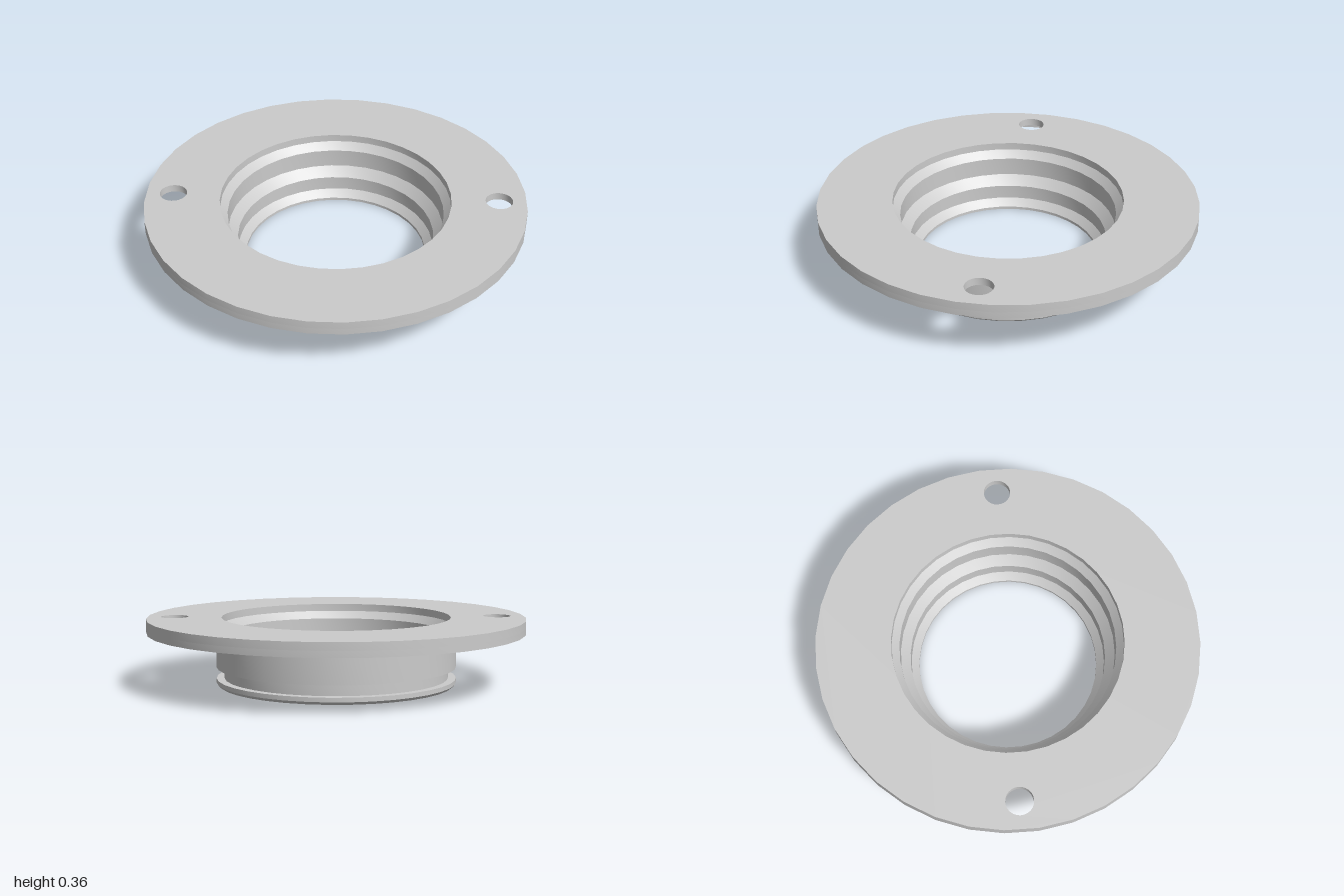
import * as THREE from 'three';
import { toCreasedNormals } from 'three/addons/utils/BufferGeometryUtils.js';

const SIDES = 36;
const TOP = 0.36, POCKET_ROOF = 0.32, FLANGE_BOTTOM = 0.287;
const HOLE_POS = 0.605, BORE = 0.607;

const material = new THREE.MeshStandardMaterial({ color: 0xcccccc });

function part(name, geometry) {
  const mesh = new THREE.Mesh(toCreasedNormals(geometry, Math.PI / 7), material);
  mesh.name = name;
  return mesh;
}

// Points along an arc; angle 0 points to +z (shape y), growing towards +x
function arc(radius, from, to, steps, cx = 0, cy = 0) {
  return Array.from({ length: steps + 1 }, (_, i) => {
    const a = from + (to - from) * i / steps;
    return new THREE.Vector2(cx + radius * Math.sin(a), cy + radius * Math.cos(a));
  });
}

// Counter-clockwise closed circle
function circle(radius, steps, cx, cy) {
  return arc(radius, Math.PI * 2, 0, steps, cx, cy).slice(0, -1);
}

// Flat plate with the flange outline and the given clockwise cut-outs
function plate(cutouts, bottom, top) {
  const shape = new THREE.Shape(circle(1, SIDES));
  shape.holes = cutouts.map(points => new THREE.Path(points));
  const geometry = new THREE.ExtrudeGeometry(shape, { depth: top - bottom, bevelEnabled: false });
  return geometry.rotateX(Math.PI / 2).translate(0, top, 0);
}

export function createModel() {
  const group = new THREE.Group();
  group.name = 'flangedCollar';

  const boltHoles = [-1, 1].map(s => circle(0.072, 24, s * HOLE_POS, s * HOLE_POS).reverse());

  // Shallow sector pockets around the bolt holes, open underneath
  const half = THREE.MathUtils.degToRad(25.5);
  const pockets = [Math.PI / 4, Math.PI * 5 / 4].map(mid => [
    ...arc(0.965, mid - half, mid + half, 8),
    ...arc(0.743, mid + half, mid - half, 8),
  ]);

  const bore = circle(BORE, SIDES).reverse();
  const collarSeat = circle(0.645, SIDES).reverse();
  group.add(part('flangeTop', plate([bore, ...boltHoles], POCKET_ROOF, TOP)));
  group.add(part('flangeUnderside', plate([collarSeat, ...pockets], FLANGE_BOTTOM, POCKET_ROOF)));

  // Collar: stepped bore downwards, then the grooved outer wall upwards
  const profile = [
    [BORE, POCKET_ROOF], [0.57, 0.28], [0.57, 0.18], [0.522, 0.13],
    [0.522, 0.053], [0.483, 0.015], [0.483, 0],
    [0.622, 0], [0.637, 0.015], [0.637, 0.038], [0.595, 0.038],
    [0.595, 0.098], [0.637, 0.098], [0.637, 0.247], [0.68, FLANGE_BOTTOM],
  ].map(([r, y]) => new THREE.Vector2(r, y));
  group.add(part('collar', new THREE.LatheGeometry(profile, SIDES)));

  return group;
}
